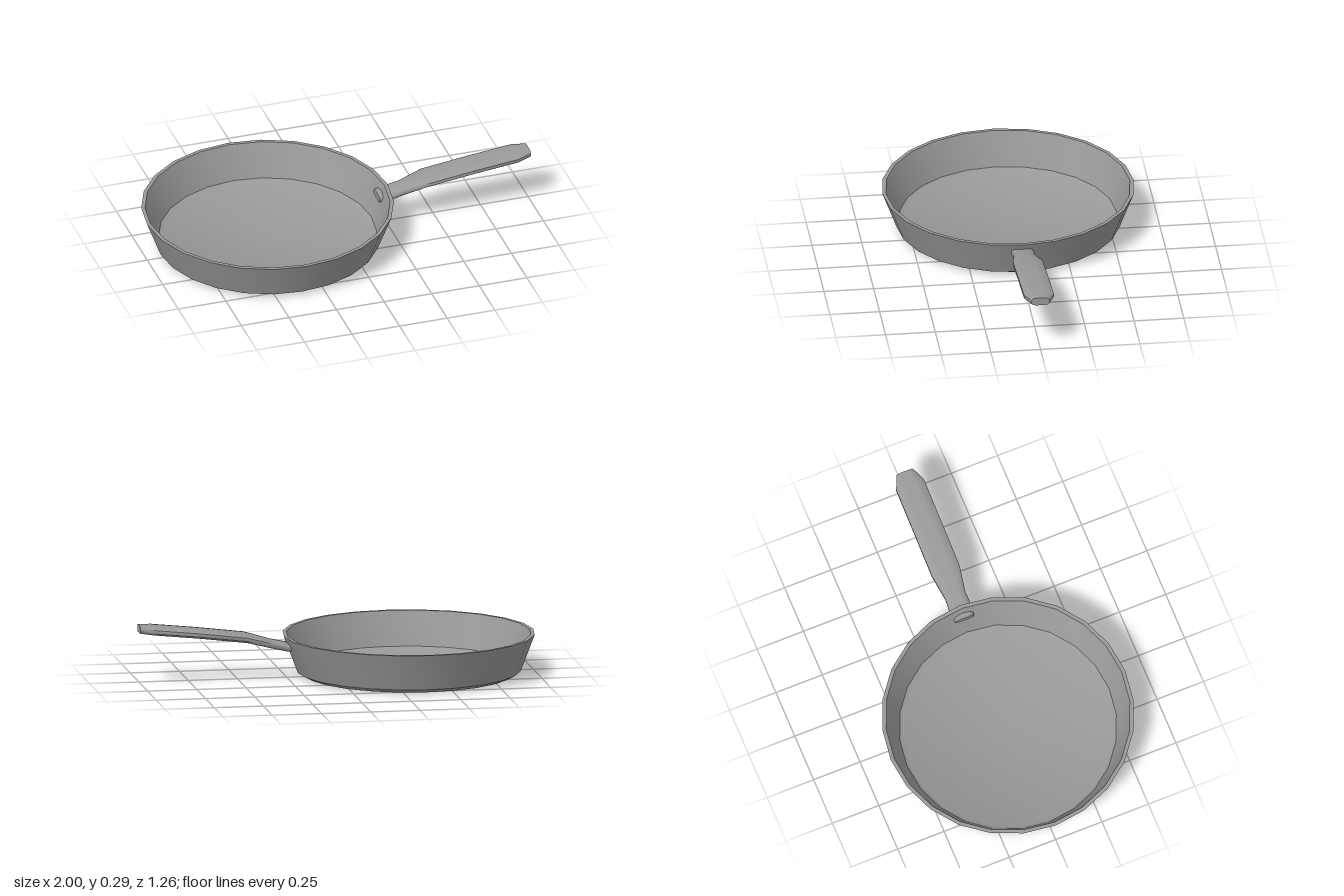
import * as THREE from 'three';
import { mergeVertices, toCreasedNormals } from 'three/addons/utils/BufferGeometryUtils.js';

// Handle stations from pan to tip: x, centre height, half width, half thickness
const STATIONS = [
  [0.205, 0.152, 0.05, 0.018],
  [0.26, 0.158, 0.057, 0.02],
  [0.33, 0.174, 0.054, 0.02],
  [0.46, 0.21, 0.075, 0.021],
  [0.70, 0.24, 0.075, 0.021],
  [0.93, 0.264, 0.075, 0.021],
  [1.0, 0.27, 0.045, 0.02],
];

// Rounded-edge cross-section as fractions of half width (z) and half thickness (y)
const SECTION = [[1, -0.4], [1, 0.4], [0.8, 0.9], [0.4, 1], [-0.4, 1], [-0.8, 0.9],
  [-1, 0.4], [-1, -0.4], [-0.8, -0.9], [-0.4, -1], [0.4, -1], [0.8, -0.9]];

function loftHandle() {
  const n = SECTION.length;
  const positions = [];
  const index = [];
  for (const [x, y, w, t] of STATIONS) {
    for (const [a, b] of SECTION) positions.push(x, y + b * t, a * w);
  }
  // sides
  for (let s = 0; s < STATIONS.length - 1; s++) {
    for (let i = 0; i < n; i++) {
      const a = s * n + i;
      const b = s * n + (i + 1) % n;
      index.push(a, a + n, b, b, a + n, b + n);
    }
  }
  // end caps
  const last = (STATIONS.length - 1) * n;
  for (let i = 1; i < n - 1; i++) {
    index.push(0, i, i + 1);
    index.push(last, last + i + 1, last + i);
  }
  const geometry = new THREE.BufferGeometry();
  geometry.setAttribute('position', new THREE.Float32BufferAttribute(positions, 3));
  geometry.setIndex(index);
  return toCreasedNormals(geometry, 0.9);
}

function lathePan() {
  // underside, outer wall, rim, inner wall, floor
  const profile = [[0, 0], [0.525, 0], [0.562, 0.02], [0.632, 0.206], [0.613, 0.206],
    [0.545, 0.036], [0.525, 0.025], [0, 0.025]].map(([r, y]) => new THREE.Vector2(r, y));
  const geometry = new THREE.LatheGeometry(profile, 24);
  geometry.deleteAttribute('normal');
  geometry.deleteAttribute('uv');
  return toCreasedNormals(mergeVertices(geometry), 0.6);
}

export function createModel() {
  const metal = new THREE.MeshStandardMaterial({ color: 0x999999 });
  metal.name = 'grey metal';
  const group = new THREE.Group();
  group.name = 'fryingPan';

  const pan = new THREE.Mesh(lathePan(), metal);
  pan.name = 'pan';
  pan.position.x = -0.368;

  const handle = new THREE.Mesh(loftHandle(), metal);
  handle.name = 'handle';

  group.add(pan, handle);
  return group;
}
